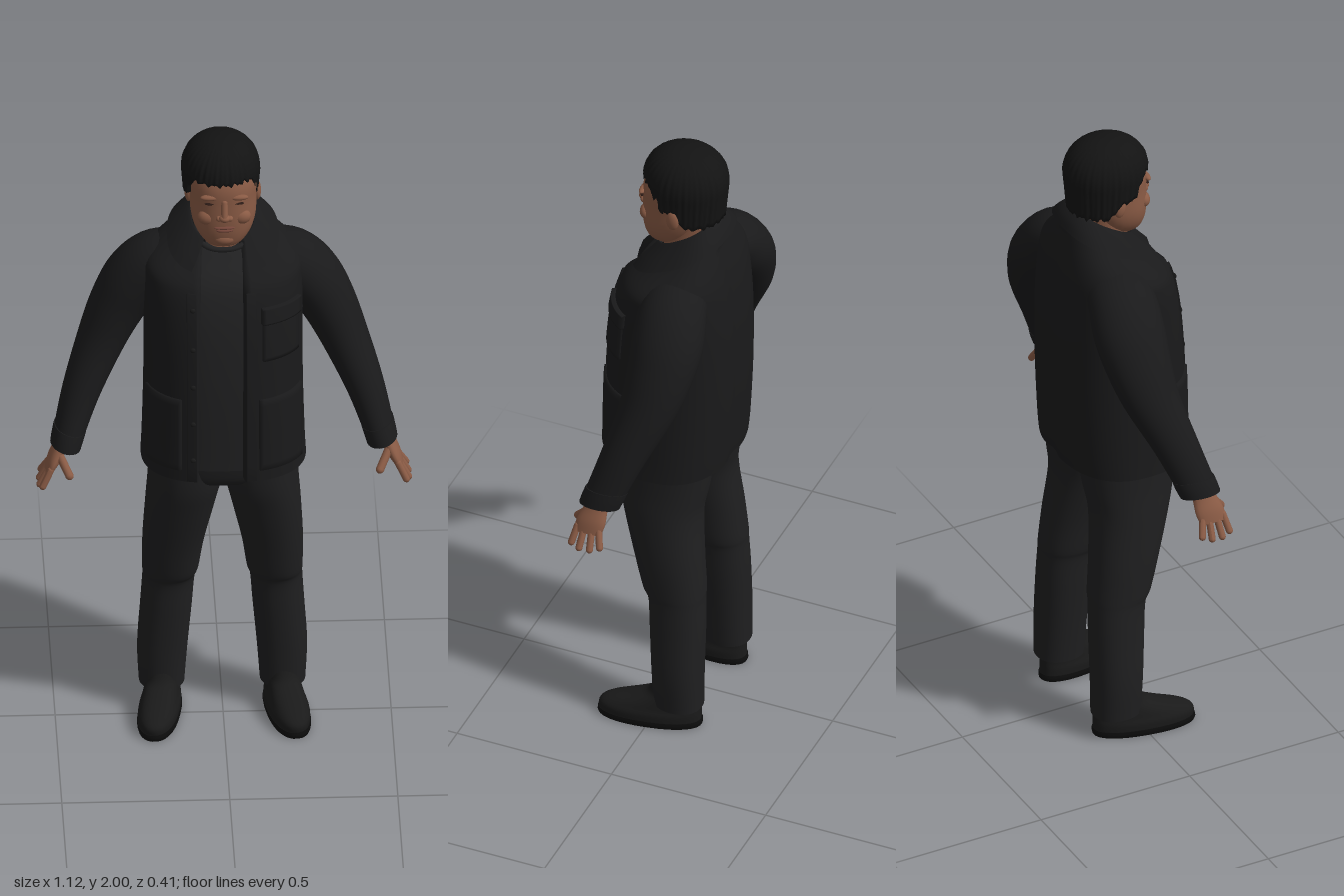
import * as THREE from 'three';

const mat = (name, color, side = THREE.FrontSide) => {
  const m = new THREE.MeshStandardMaterial({ color, side });
  m.name = name;
  return m;
};
const E = 0.82; // squareness of the body cross-sections
const pw = (v, e) => Math.sign(v) * Math.pow(Math.abs(v), e);

// Surface through rows of points; rows run bottom to top, columns anticlockwise from above
function grid(rows, closed = true, caps = false) {
  const n = rows[0].length, pos = [], idx = [];
  rows.forEach(r => r.forEach(p => pos.push(...p)));
  for (let i = 0; i < rows.length - 1; i++)
    for (let j = 0; j < (closed ? n : n - 1); j++) {
      const k = (j + 1) % n, a = i * n + j, b = i * n + k;
      idx.push(a, b, b + n, a, b + n, a + n);
    }
  if (caps) [rows[0], rows[rows.length - 1]].forEach((r, end) => {
    const s = pos.length / 3, c = [0, 1, 2].map(k => r.reduce((t, p) => t + p[k], 0) / n);
    r.forEach(p => pos.push(...p));
    pos.push(...c);
    for (let j = 0; j < n; j++) {
      const k = (j + 1) % n;
      if (end) idx.push(s + n, s + j, s + k);
      else idx.push(s + n, s + k, s + j);
    }
  });
  const g = new THREE.BufferGeometry();
  g.setAttribute('position', new THREE.Float32BufferAttribute(pos, 3));
  g.setIndex(idx);
  g.computeVertexNormals();
  return g;
}

// Smoothly fill in steps between key sections (all keys of one list have equal length)
function dense(keys, k = 5) {
  const out = [], at = i => keys[Math.max(0, Math.min(keys.length - 1, i))];
  for (let i = 0; i < keys.length - 1; i++)
    for (let s = 0; s < k; s++) {
      const t = s / k;
      out.push(keys[i].map((b, c) => {
        const a = at(i - 1)[c], d = at(i + 1)[c], e = at(i + 2)[c];
        return b + 0.5 * t * (d - a + t * (2 * a - 5 * b + 4 * d - e + t * (3 * (b - d) + e - a)));
      }));
    }
  out.push(keys[keys.length - 1]);
  return out;
}

// Point on a section [y, halfWidth, zBack, zFront, tilt, centreX]
function sec([y, w, zb, zf, tilt = 0, cx = 0], a, off = 0, e = E) {
  const z = (zb + zf) / 2 + ((zf - zb) / 2 + off) * pw(Math.cos(a), e);
  return [cx + (w + off) * pw(Math.sin(a), e), y + tilt * z, z];
}
const loft = (keys, n = 36, e = E) => grid(dense(keys).map(r =>
  Array.from({ length: n }, (_, j) => sec(r, j / n * Math.PI * 2, 0, e))), true, true);

// Tube with oval sections [x, y, z, radiusAcross, radiusZ], listed bottom to top
function limb(keys, n = 28) {
  const r = dense(keys);
  return grid(r.map((c, i) => {
    const p = r[Math.max(0, i - 1)], q = r[Math.min(r.length - 1, i + 1)];
    const l = Math.hypot(q[0] - p[0], q[1] - p[1]), nx = (q[1] - p[1]) / l, ny = (p[0] - q[0]) / l;
    return Array.from({ length: n }, (_, j) => {
      const a = j / n * Math.PI * 2, s = Math.sin(a) * c[3];
      return [c[0] + nx * s, c[1] + ny * s, c[2] + Math.cos(a) * c[4]];
    });
  }), true, true);
}

function capsule(p, q, r) {
  const a = new THREE.Vector3(...p), b = new THREE.Vector3(...q), d = b.clone().sub(a);
  const g = new THREE.CapsuleGeometry(r, d.length(), 5, 12);
  g.applyQuaternion(new THREE.Quaternion().setFromUnitVectors(new THREE.Vector3(0, 1, 0), d.clone().normalize()));
  return g.translate(...a.add(b).multiplyScalar(0.5).toArray());
}
const blob = (x, y, z, rx, ry, rz) => new THREE.SphereGeometry(1, 18, 12).scale(rx, ry, rz).translate(x, y, z);

function mirrored(geo) {
  const g = geo.clone().scale(-1, 1, 1), ix = g.index.array;
  for (let i = 0; i < ix.length; i += 3) [ix[i + 1], ix[i + 2]] = [ix[i + 2], ix[i + 1]];
  g.computeVertexNormals();
  return g;
}

export function createModel() {
  const root = new THREE.Group();
  const jacket = mat('jacket black', 0x1a1a1b, THREE.DoubleSide), tee = mat('shirt charcoal', 0x212122);
  const trousers = mat('trouser charcoal', 0x1f1f20), leather = mat('shoe black', 0x1a1a1a);
  const rubber = mat('sole black', 0x0d0d0d), hairMat = mat('hair black', 0x131313, THREE.DoubleSide);
  const skin = mat('skin', 0x8a5b45), lip = mat('lip', 0x74463a), dark = mat('eye dark', 0x2a1a15);
  const add = (name, geo, m) => {
    const o = new THREE.Mesh(geo, m);
    o.name = name;
    root.add(o);
  };
  const both = (name, geo, m) => {
    add(name + 'Left', geo, m);
    add(name + 'Right', mirrored(geo), m);
  };

  // Trousers
  both('trouserLeg', loft([
    [0.075, 0.068, -0.155, -0.005, 0, 0.18], [0.2, 0.075, -0.155, 0.002, 0, 0.178],
    [0.35, 0.077, -0.155, 0.012, 0, 0.167], [0.45, 0.078, -0.152, 0.02, 0, 0.16],
    [0.49, 0.084, -0.152, 0.04, 0, 0.155], [0.6, 0.092, -0.142, 0.07, 0, 0.147],
    [0.75, 0.104, -0.13, 0.112, 0, 0.127], [0.85, 0.111, -0.145, 0.135, 0, 0.113],
    [0.98, 0.112, -0.16, 0.14, 0, 0.11]], 32, 0.9), trousers);
  add('trouserSeat', loft([[0.84, 0.1, -0.09, 0.08], [0.87, 0.2, -0.14, 0.125],
    [0.92, 0.222, -0.16, 0.14], [0.98, 0.222, -0.165, 0.145]]), trousers);

  // Shoes, toes turned out
  const place = g => g.rotateY(0.17).translate(0.188, 0, 0);
  both('shoe', place(loft([[0.015, 0.06, -0.148, 0.163], [0.04, 0.06, -0.148, 0.163],
    [0.06, 0.054, -0.148, 0.135], [0.085, 0.049, -0.147, 0.06], [0.105, 0.047, -0.142, 0.015],
    [0.14, 0.045, -0.135, -0.005]], 32, 0.88)), leather);
  both('sole', place(loft([[0, 0.061, -0.15, 0.166], [0.01, 0.063, -0.152, 0.169],
    [0.02, 0.062, -0.15, 0.167]], 32, 0.88)), rubber);

  // Shirt and its neck band
  add('shirt', loft([[0.94, 0.222, -0.17, 0.165, 0], [1.2, 0.217, -0.19, 0.17, 0], [1.4, 0.217, -0.19, 0.16, 0],
    [1.52, 0.215, -0.175, 0.138, 0], [1.59, 0.18, -0.16, 0.11, -0.1], [1.645, 0.115, -0.12, 0.07, -0.3],
    [1.67, 0.08, -0.1, 0.052, -0.5]], 48), tee);
  const neckline = Array.from({ length: 28 }, (_, j) =>
    new THREE.Vector3(...sec([1.672, 0.08, -0.1, 0.053, -0.5], j / 28 * Math.PI * 2)));
  add('shirtNeckBand', new THREE.TubeGeometry(new THREE.CatmullRomCurve3(neckline, true), 56, 0.009, 6, true), tee);

  // Jacket body, open at the front, with a shallow groove down the back
  const body = dense([[0.92, 0.246, -0.19, 0.2, 0], [1.0, 0.242, -0.198, 0.2, 0], [1.2, 0.237, -0.208, 0.197, 0],
    [1.4, 0.237, -0.207, 0.182, 0], [1.53, 0.238, -0.195, 0.157, 0], [1.595, 0.225, -0.18, 0.125, -0.1],
    [1.655, 0.14, -0.15, 0.075, -0.35], [1.69, 0.1, -0.115, 0.05, -0.6]], 6);
  const angle = (x, w) => Math.sign(x) * Math.asin(Math.min(1, Math.pow(Math.abs(x) / w, 1 / E)));
  const jacketPoint = (r, a) => {
    const p = sec(r, a);
    if (Math.cos(a) < 0 && r[0] < 1.65) p[2] += 0.011 * Math.exp(-(((p[0] - 0.02) / 0.03) ** 2));
    return p;
  };
  add('jacketBody', grid(body.map(r => {
    const a0 = angle(0.06, r[1]), a1 = Math.PI * 2 + angle(-0.1 + (r[0] - 0.92) * 0.035, r[1]);
    const row = Array.from({ length: 81 }, (_, j) => jacketPoint(r, a0 + (a1 - a0) * j / 80));
    return [sec(r, a0, -0.03), ...row, sec(r, a1, -0.03)];
  }), false), jacket);

  // Raised cloth panels that follow the jacket front
  const rowAt = y => {
    const i = Math.max(1, body.findIndex(r => r[0] >= y)), t = (y - body[i - 1][0]) / (body[i][0] - body[i - 1][0]);
    return body[i].map((v, c) => body[i - 1][c] + (v - body[i - 1][c]) * t);
  };
  const panel = (name, x0, x1, y0, y1, h = 0.008) => {
    const N = 12, ts = [0, ...Array.from({ length: N + 1 }, (_, i) => i / N), 1];
    add(name, grid(ts.map((v, i) => ts.map((u, j) => {
      const edge = !i || !j || i === N + 2 || j === N + 2, r = rowAt(y0 + (y1 - y0) * v);
      return sec(r, angle(x0 + (x1 - x0) * u, r[1]), edge ? -0.002 : h);
    })), false), jacket);
  };
  panel('chestPocket', 0.11, 0.215, 1.33, 1.47);
  panel('chestPocketFlap', 0.107, 0.218, 1.45, 1.5, 0.013);
  panel('hipPocketLeft', 0.1, 0.225, 0.96, 1.2);
  panel('hipPocketRight', -0.228, -0.13, 0.96, 1.2);
  panel('frontPlacketLeft', 0.061, 0.092, 0.925, 1.55, 0.006);
  panel('frontPlacketRight', -0.112, -0.082, 0.925, 1.55, 0.006);
  for (let i = 0; i < 5; i++) {
    const r = rowAt(1.0 + i * 0.125), p = sec(r, angle(-0.094, r[1]), 0.007);
    add('button' + (i + 1), blob(...p, 0.008, 0.008, 0.004), leather);
  }

  // Folded collar
  add('collar', grid(dense([[1.648, 0.165, -0.163, 0.12, -0.45], [1.675, 0.135, -0.148, 0.095, -0.5],
    [1.702, 0.1, -0.122, 0.055, -0.58], [1.7, 0.09, -0.11, 0.045, -0.58], [1.66, 0.09, -0.105, 0.045, -0.55]], 4)
    .map(r => Array.from({ length: 49 }, (_, j) => sec(r, 0.55 + (Math.PI * 2 - 1.1) * j / 48, 0.002))), false), jacket);

  // Sleeves with cuffs
  both('sleeve', limb([[0.47, 0.982, 0.05, 0.044, 0.06], [0.424, 1.13, -0.002, 0.057, 0.07],
    [0.362, 1.28, -0.055, 0.072, 0.088], [0.312, 1.39, -0.075, 0.084, 0.102],
    [0.262, 1.475, -0.078, 0.092, 0.11], [0.2, 1.54, -0.07, 0.09, 0.105], [0.12, 1.575, -0.06, 0.07, 0.09]]), jacket);
  both('cuff', limb([[0.471, 0.978, 0.051, 0.047, 0.063], [0.464, 1.005, 0.042, 0.049, 0.065],
    [0.457, 1.03, 0.034, 0.05, 0.065]]), jacket);

  // Hands
  both('palm', limb([[0.523, 0.902, 0.068, 0.012, 0.042], [0.508, 0.935, 0.063, 0.019, 0.046],
    [0.489, 0.972, 0.056, 0.022, 0.038], [0.472, 1.01, 0.045, 0.025, 0.03]], 20), skin);
  [[0.034, 0.02, 0.543, 0.874], [0.056, 0.05, 0.549, 0.862], [0.08, 0.084, 0.549, 0.86], [0.102, 0.112, 0.541, 0.868]]
    .forEach(([z0, z1, x, y], i) => both('finger' + (i + 1), capsule([0.517, 0.918, z0], [x, y, z1], 0.0105), skin));
  both('thumb', capsule([0.492, 0.962, 0.082], [0.462, 0.91, 0.124], 0.0125), skin);

  // Neck and head
  add('neck', loft([[1.58, 0.08, -0.11, 0.05], [1.66, 0.073, -0.1, 0.045], [1.72, 0.073, -0.105, 0.045],
    [1.8, 0.08, -0.115, 0.03]], 28, 1), skin);
  add('head', loft([[1.668, 0.03, 0.01, 0.065], [1.68, 0.057, -0.025, 0.087], [1.715, 0.083, -0.06, 0.099],
    [1.76, 0.097, -0.09, 0.104], [1.82, 0.1, -0.12, 0.104], [1.88, 0.1, -0.125, 0.1],
    [1.94, 0.075, -0.1, 0.07], [1.965, 0.03, -0.06, 0.02]], 36, 0.9), skin);
  add('noseBridge', capsule([0, 1.838, 0.1], [0, 1.797, 0.113], 0.01), skin);
  add('noseTip', blob(0, 1.79, 0.111, 0.017, 0.012, 0.015), skin);
  both('nostril', blob(0.016, 1.786, 0.104, 0.01, 0.009, 0.011), skin);
  both('cheek', blob(0.05, 1.778, 0.078, 0.03, 0.025, 0.022), skin);
  both('brow', blob(0.042, 1.852, 0.092, 0.03, 0.009, 0.012), skin);
  both('eye', blob(0.042, 1.832, 0.094, 0.017, 0.003, 0.007), dark);
  both('ear', blob(0.102, 1.805, -0.025, 0.012, 0.033, 0.02), skin);
  add('upperLip', blob(0, 1.752, 0.102, 0.032, 0.005, 0.008), lip);
  add('lowerLip', blob(0, 1.742, 0.1, 0.026, 0.006, 0.009), lip);
  add('chin', blob(0, 1.704, 0.084, 0.032, 0.02, 0.018), skin);

  // Bowl of hair with fine strands and a ragged hem
  const N = 160, rows = [];
  for (let i = 0; i <= 22; i++) {
    const t = i ? 1 - (i - 1) / 21 : 1;
    rows.push(Array.from({ length: N }, (_, j) => {
      const a = j / N * Math.PI * 2, c = Math.cos(a);
      const front = THREE.MathUtils.smoothstep(c, 0.3, 0.72), back = THREE.MathUtils.smoothstep(-c, -0.05, 0.4);
      const hem = 1.825 + 0.073 * front - 0.05 * back + 0.004 * Math.sin(23 * a) + 0.003 * Math.sin(41 * a + 1);
      const d = (2 - hem) * (1 - Math.cos(t * Math.PI / 2));
      let s = d < 0.11 ? Math.pow(1 - Math.pow(1 - d / 0.11, 2.2), 1 / 2.2) : 1 - 0.7 * (d - 0.11);
      s *= 1 + t * (0.014 * Math.sin(40 * a + 2 * Math.sin(3 * a) + 3 * t) + 0.008 * Math.sin(27 * a));
      if (!i) s *= 0.84;
      return [-0.007 + 0.117 * s * Math.sin(a), 2 - d, -0.023 + 0.13 * s * c];
    }));
  }
  add('hair', grid(rows), hairMat);

  return root;
}
